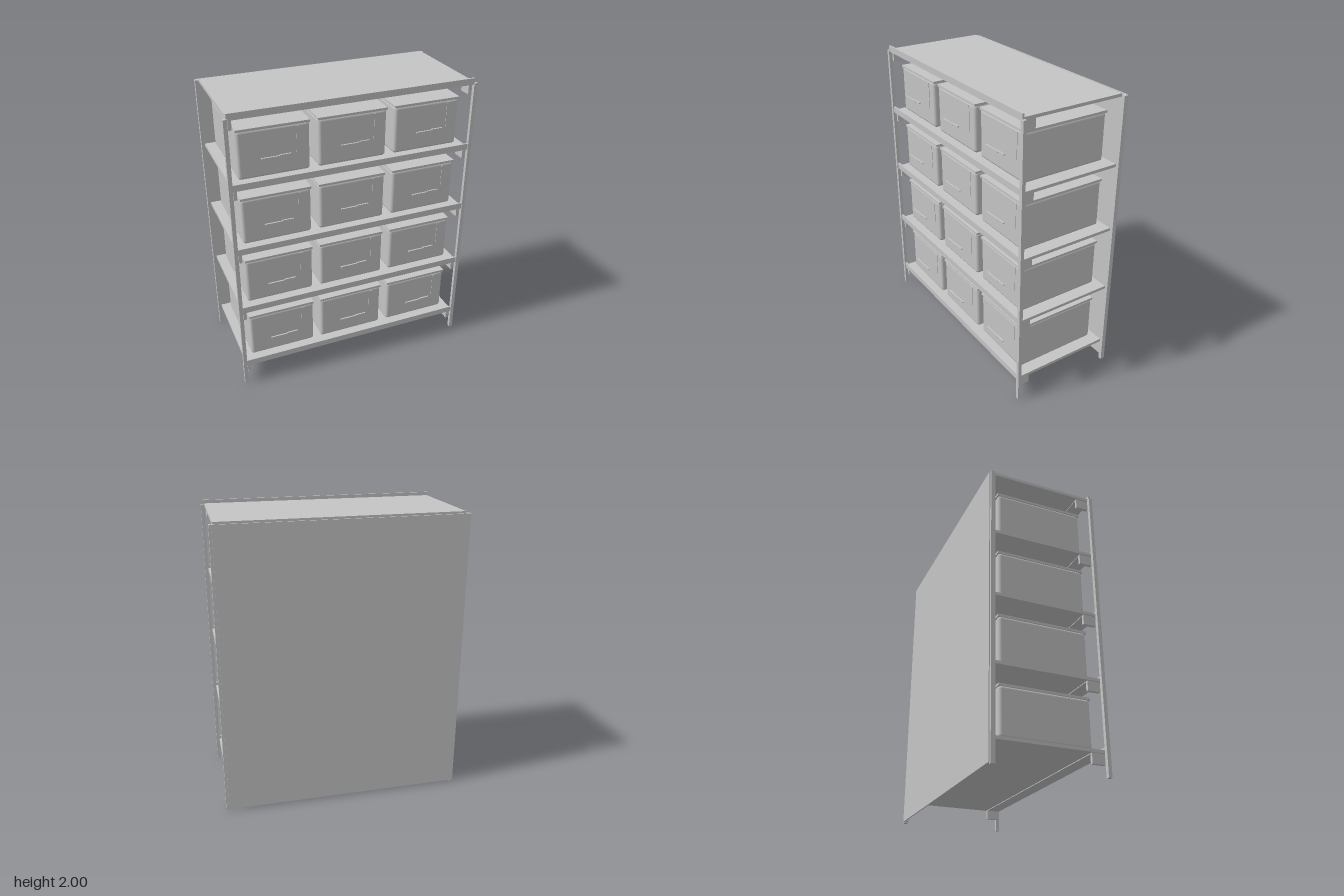
import * as THREE from 'three';
import { RoundedBoxGeometry } from 'three/addons/geometries/RoundedBoxGeometry.js';

export function createModel() {
  const root = new THREE.Group();
  root.name = 'storageShelf';
  const grey = new THREE.MeshStandardMaterial({ color: 0xc4c4c4 });
  grey.name = 'lightGrey';

  // Box given by its minimum and maximum on each axis
  function box(parent, name, [x0, x1], [y0, y1], [z0, z1]) {
    const mesh = new THREE.Mesh(new THREE.BoxGeometry(x1 - x0, y1 - y0, z1 - z0), grey);
    mesh.position.set((x0 + x1) / 2, (y0 + y1) / 2, (z0 + z1) / 2);
    mesh.name = name;
    parent.add(mesh);
    return mesh;
  }
  // Same box on the left (+x) and right (-x)
  function pair(parent, name, [x0, x1], y, z) {
    box(parent, name + 'Left', [x0, x1], y, z);
    box(parent, name + 'Right', [-x1, -x0], y, z);
  }

  // Corner posts and back panel
  pair(root, 'frontPost', [0.804, 0.829], [0, 1.967], [0.354, 0.378]);
  pair(root, 'backPost', [0.804, 0.829], [0, 1.967], [-0.372, -0.343]);
  box(root, 'backPanel', [-0.812, 0.812], [0.01, 1.967], [-0.378, -0.369]);

  // One storage bin, origin on the shelf top below its middle
  const bodyGeometry = new RoundedBoxGeometry(0.46, 0.318, 0.598, 3, 0.02);
  function bin() {
    const group = new THREE.Group();
    group.name = 'bin';
    const body = new THREE.Mesh(bodyGeometry, grey);
    body.name = 'binBody';
    body.position.set(0, 0.172, 0.01);
    group.add(body);
    box(group, 'binLid', [-0.232, 0.232], [0.325, 0.341], [-0.293, 0.311]);
    box(group, 'levelStrip', [0.142, 0.164], [0.143, 0.315], [0.306, 0.312]);
    // Slim handle, stepped towards one end
    box(group, 'handleBar', [-0.095, 0.03], [0.148, 0.158], [0.346, 0.356]);
    box(group, 'handleEnd', [0.02, 0.095], [0.154, 0.163], [0.346, 0.356]);
    return group;
  }

  // Five shelves; the lower four carry three bins each
  for (let i = 0; i < 5; i++) {
    const shelf = new THREE.Group();
    shelf.name = 'shelf' + (i + 1);
    shelf.position.y = 0.167 + 0.4525 * i;
    box(shelf, 'shelfBoard', [-0.806, 0.806], [-0.02, 0], [-0.343, 0.36]);
    box(shelf, 'frontLip', [-0.81, 0.81], [-0.02, 0.023], [0.36, 0.372]);

    // Angle brackets under the front corners, joined by a thin strip
    pair(shelf, 'bracket', [0.777, 0.797], [-0.087, -0.02], [0.272, 0.357]);
    box(shelf, 'bracketStrip', [-0.797, 0.797], [-0.025, -0.019], [0.272, 0.357]);

    if (i < 4) {
      for (const x of [-0.519, -0.003, 0.514]) {
        const b = bin();
        b.position.x = x;
        shelf.add(b);
      }
    }
    root.add(shelf);
  }
  return root;
}
